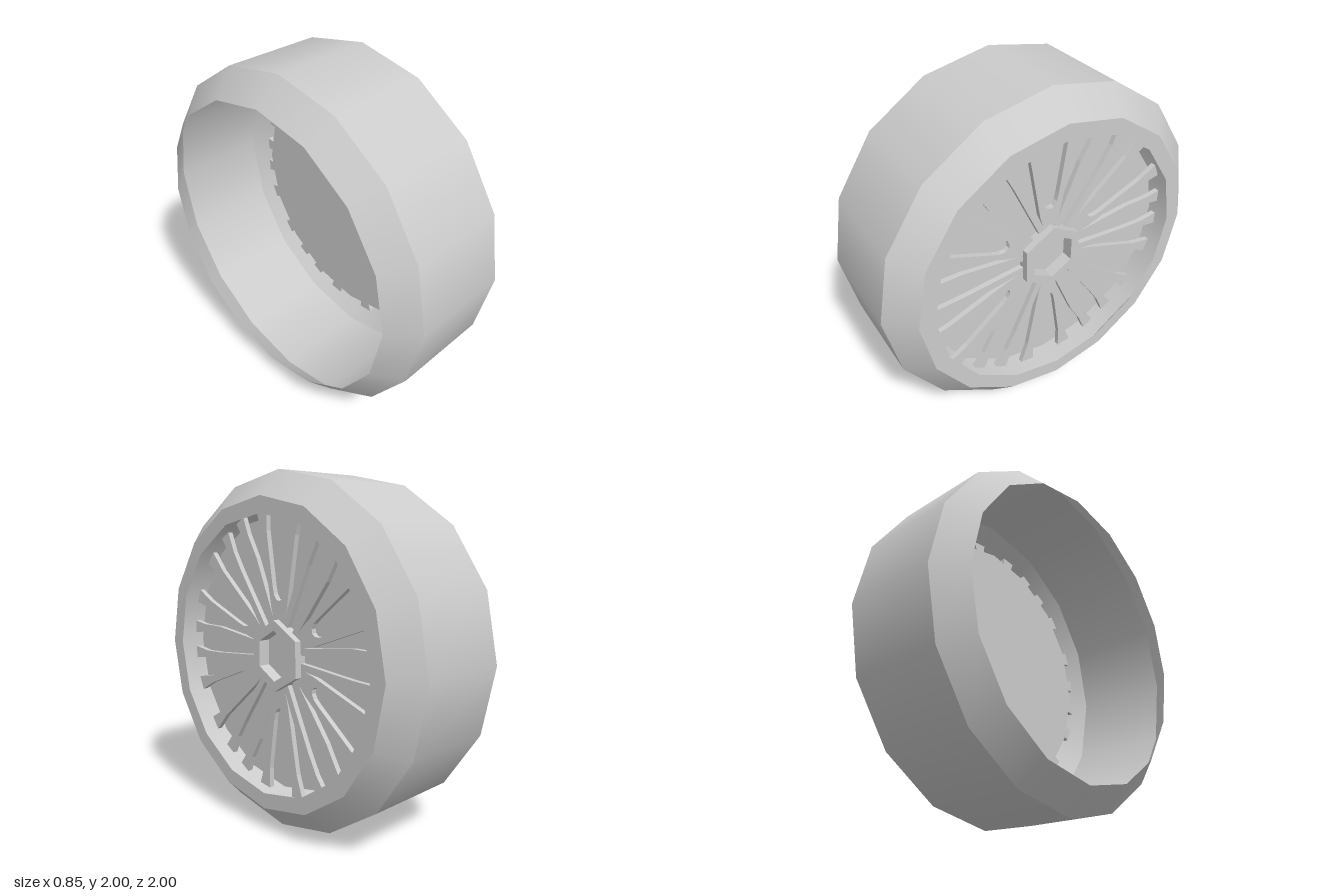
import * as THREE from 'three';

const SIDES = 16;

export function createModel() {
  const model = new THREE.Group();
  const mat = new THREE.MeshStandardMaterial({ color: 0xcccccc, side: THREE.DoubleSide });
  // everything is built facing +z, then turned so the axle lies along x
  const wheel = new THREE.Group();
  wheel.name = 'wheel';
  wheel.rotation.y = Math.PI / 2;
  wheel.position.y = 1;
  model.add(wheel);

  const add = (name, geometry, z = 0, parent = wheel) => {
    const mesh = new THREE.Mesh(geometry, mat);
    mesh.name = name;
    mesh.position.z = z;
    parent.add(mesh);
    return mesh;
  };

  // open tyre shell: separate bands keep the creases sharp
  const band = (name, r0, z0, r1, z1) => {
    const g = new THREE.LatheGeometry([new THREE.Vector2(r0, z0), new THREE.Vector2(r1, z1)], SIDES);
    add(name, g.rotateX(Math.PI / 2));
  };
  band('innerShoulder', 0.86, -0.425, 1, -0.29);
  band('tread', 1, -0.29, 1, 0.29);
  band('outerShoulder', 1, 0.29, 0.86, 0.425);
  band('rimLip', 0.86, 0.425, 0.77, 0.425);

  // backing disc behind the spokes
  add('wheelDisc', new THREE.CircleGeometry(0.775, SIDES), 0.27);

  const extrude = (shape, depth) =>
    new THREE.ExtrudeGeometry(shape, { depth, bevelEnabled: false, curveSegments: 6 });

  // forked spoke with a rounded U opening
  const fork = new THREE.Shape();
  fork.moveTo(-0.03, 0.15);
  fork.lineTo(0.03, 0.15);
  fork.lineTo(0.065, 0.27);
  fork.lineTo(0.135, 0.66);
  fork.lineTo(0.18, 0.79);
  fork.lineTo(0.095, 0.8);
  fork.lineTo(0.095, 0.68);
  fork.lineTo(0.05, 0.38);
  fork.bezierCurveTo(0.04, 0.275, -0.04, 0.275, -0.05, 0.38);
  fork.lineTo(-0.095, 0.68);
  fork.lineTo(-0.095, 0.8);
  fork.lineTo(-0.18, 0.79);
  fork.lineTo(-0.135, 0.66);
  fork.lineTo(-0.065, 0.27);
  fork.closePath();
  const forkGeo = extrude(fork, 0.03);

  // thin straight spoke, used in mirrored pairs between the forks
  const thinSpoke = (s) => new THREE.Shape([
    [0.02, 0.15], [0.06, 0.18], [0.105, 0.55], [0.105, 0.7], [0.12, 0.8], [0.045, 0.8], [0.06, 0.68], [0.055, 0.55],
  ].map(([x, y]) => new THREE.Vector2(s * x, y)));
  const thinGeos = [1, -1].map((s) => extrude(thinSpoke(s), 0.03));

  for (let i = 0; i < 6; i++) {
    const sector = new THREE.Group();
    sector.name = 'spokeSector';
    sector.rotation.z = (i * Math.PI) / 3;
    wheel.add(sector);
    add('forkedSpoke', forkGeo, 0.271, sector);
    const pair = new THREE.Group();
    pair.name = 'thinSpokePair';
    pair.rotation.z = Math.PI / 6;
    sector.add(pair);
    thinGeos.forEach((g) => add('thinSpoke', g, 0.271, pair));
  }

  // hexagonal hub ring with a recessed centre
  const hexPoints = (r) => Array.from({ length: 6 }, (_, i) => {
    const a = Math.PI / 2 + (i * Math.PI) / 3;
    return new THREE.Vector2(r * Math.cos(a), r * Math.sin(a));
  });
  const hub = new THREE.Shape(hexPoints(0.2));
  hub.holes.push(new THREE.Path(hexPoints(0.143)));
  add('hubRing', extrude(hub, 0.07), 0.271);

  return model;
}
